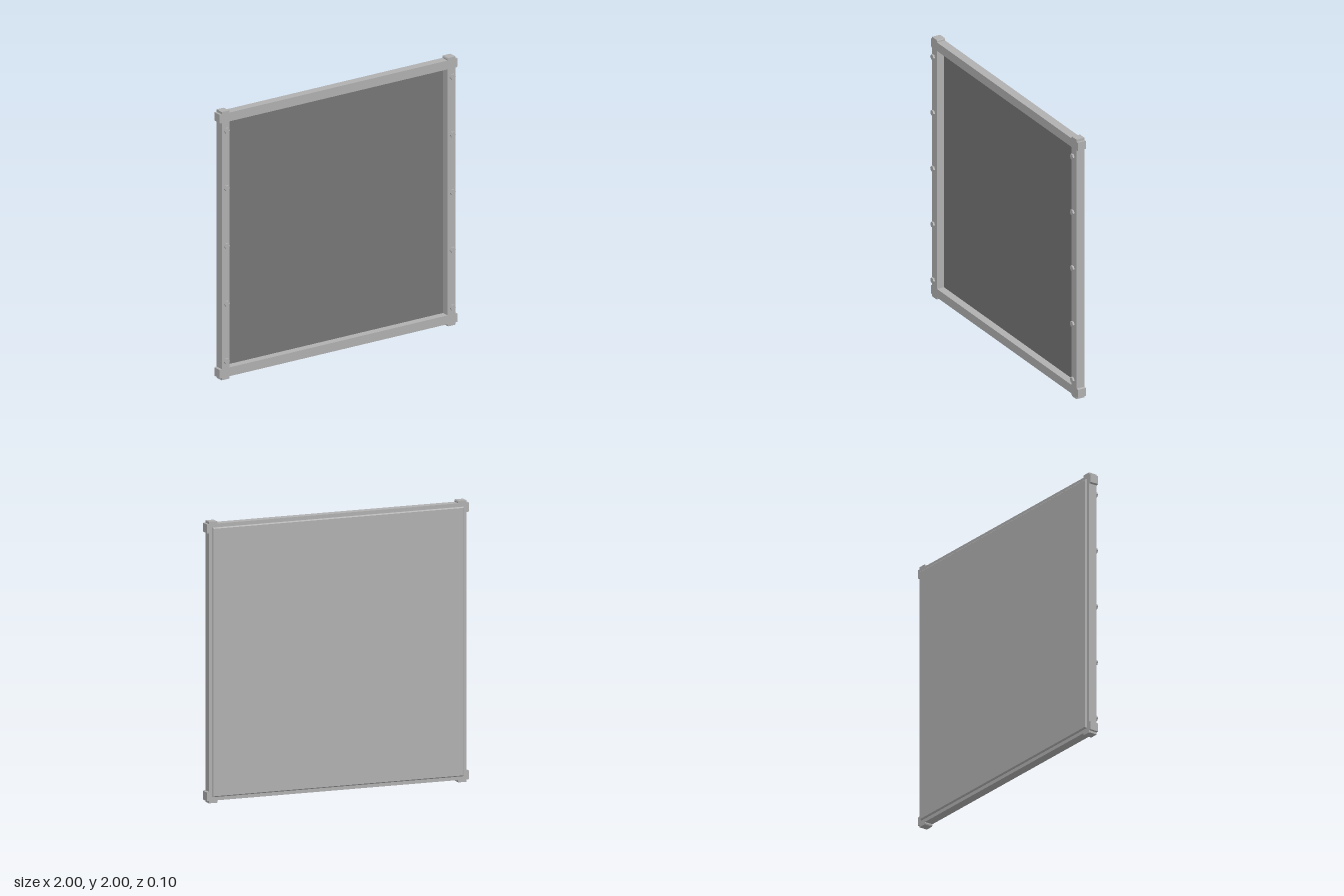
import * as THREE from 'three';

const FRONT = 0.028, BACK = -0.037;   // frame depth range
const OUT = 0.983, INN = 0.917;       // frame half sizes

export function createModel() {
  const steel = new THREE.MeshStandardMaterial({ color: 0xb0b0b0 });
  steel.name = 'light grey steel';
  const dark = new THREE.MeshStandardMaterial({ color: 0x767676 });
  dark.name = 'dark grey panel';

  const model = new THREE.Group();
  model.name = 'framedPanel';
  const add = (name, geometry, material, x, y, z) => {
    const mesh = new THREE.Mesh(geometry, material);
    mesh.name = name;
    mesh.position.set(x, y, z);
    model.add(mesh);
    return mesh;
  };
  const square = (r) => [[-r, -r], [r, -r], [r, r], [-r, r]].map(([x, y]) => new THREE.Vector2(x, y));
  const depth = FRONT - BACK;

  // Square frame with its opening
  const frameShape = new THREE.Shape(square(OUT));
  frameShape.holes.push(new THREE.Path(square(INN).reverse()));
  add('frame', new THREE.ExtrudeGeometry(frameShape, { depth, bevelEnabled: false }), steel, 0, 1, BACK);

  // Corner caps: a raised tab on each outer side, leaving a notch at the tip
  const c = 0.008;
  const tab = new THREE.Shape([
    [INN, OUT - 0.01], [OUT, OUT - 0.01], [OUT, 1], [INN + c / 2, 1], [INN, 1 - c],
  ].map(([x, y]) => new THREE.Vector2(x, y)));
  const tabGeo = new THREE.ExtrudeGeometry(tab, { depth, bevelEnabled: false });
  for (let i = 0; i < 4; i++) {
    const corner = new THREE.Group();
    corner.name = 'cornerCap';
    const upper = new THREE.Mesh(tabGeo, steel);
    upper.name = 'cornerTabTop';
    upper.position.z = BACK;
    // Same tab turned over the diagonal
    const side = new THREE.Mesh(tabGeo, steel);
    side.name = 'cornerTabSide';
    side.rotation.set(Math.PI, 0, Math.PI / 2, 'ZYX');
    side.position.z = FRONT;
    corner.add(upper, side);
    corner.position.y = 1;
    corner.rotation.z = i * Math.PI / 2;
    model.add(corner);
  }

  // Back sheet with a chamfered rim
  const bevel = 0.007;
  const sheet = new THREE.ExtrudeGeometry(new THREE.Shape(square(0.957 - bevel)), {
    depth: 0.006, bevelEnabled: true, bevelSegments: 1, bevelSize: bevel, bevelThickness: bevel,
  });
  add('backSheet', sheet, steel, 0, 1, -0.05 + bevel);

  // Dark face filling the opening
  add('frontPanel', new THREE.BoxGeometry(INN * 2, INN * 2, 0.006), dark, 0, 1, -0.032);

  // Hexagonal bolt heads down both sides
  const boltGeo = new THREE.CylinderGeometry(0.022, 0.022, 0.013, 6).toNonIndexed();
  boltGeo.computeVertexNormals();
  boltGeo.rotateX(Math.PI / 2).rotateZ(Math.PI / 6);
  for (const x of [-0.95, 0.95]) {
    for (let i = -2; i <= 2; i++) add('bolt', boltGeo, steel, x, 1 + i * 0.43, 0.0435);
  }
  return model;
}
